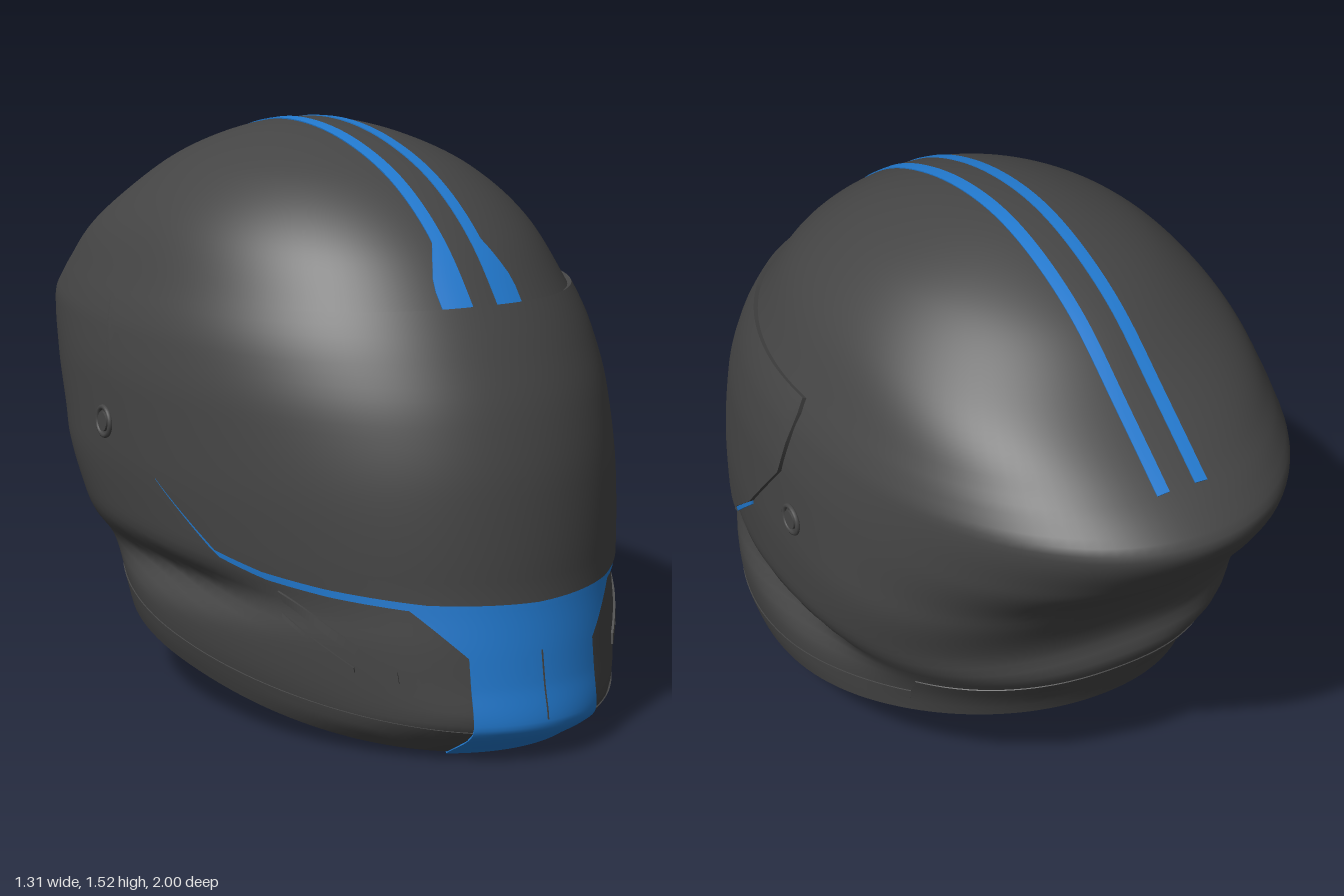
import * as THREE from 'three';
import { toCreasedNormals } from 'three/addons/utils/BufferGeometryUtils.js';

const TOP = 1.518, RAD = Math.PI / 180;
const clamp = THREE.MathUtils.clamp, lerp = THREE.MathUtils.lerp;
const bump = (x, centre, width) => Math.exp(-(((x - centre) / width) ** 2));

// Level sections: height, front z, back z, half width, z of the widest point
const LEVELS = [
  [TOP, -0.03, -0.03, 0, -0.03], [1.48, 0.25, -0.27, 0.21, -0.02], [1.395, 0.465, -0.47, 0.378, -0.01],
  [1.26, 0.64, -0.66, 0.51, 0], [1.12, 0.75, -0.85, 0.58, 0], [1.06, 0.79, -0.935, 0.606, 0],
  [1.0, 0.825, -0.995, 0.624, 0], [0.85, 0.895, -0.9, 0.642, 0], [0.68, 0.938, -0.72, 0.643, 0],
  [0.5, 0.955, -0.64, 0.628, 0.02], [0.44, 0.957, -0.66, 0.615, 0.05], [0.39, 0.962, -0.64, 0.604, 0.08],
  [0.29, 0.975, -0.585, 0.588, 0.12], [0.2, 0.985, -0.56, 0.575, 0.13],
  [0.1, 1.0, -0.55, 0.54, 0.15], [0, 0.87, -0.55, 0.49, 0.15],
];
const toQ = (y) => Math.sqrt(Math.max(0, TOP - y)); // keeps the crown round
const KNOTS = LEVELS.map((l) => toQ(l[0]));
const slope = (i, c) => (LEVELS[i + 1][c] - LEVELS[i][c]) / (KNOTS[i + 1] - KNOTS[i]);
function tangent(i, c) {
  if (i === 0) return slope(0, c);
  if (i === KNOTS.length - 1) return slope(i - 1, c);
  const a = slope(i - 1, c), b = slope(i, c);
  return a * b <= 0 ? 0 : (2 * a * b) / (a + b);
}
const TANGENTS = LEVELS.map((l, i) => l.map((_, c) => (c ? tangent(i, c) : 0)));

// Smooth section values at height y
function section(y) {
  const q = clamp(toQ(y), 0, KNOTS[KNOTS.length - 1]);
  let i = 0;
  while (i < KNOTS.length - 2 && q > KNOTS[i + 1]) i++;
  const h = KNOTS[i + 1] - KNOTS[i], t = (q - KNOTS[i]) / h, t2 = t * t, t3 = t2 * t;
  const at = (c) => (2 * t3 - 3 * t2 + 1) * LEVELS[i][c] + (t3 - 2 * t2 + t) * h * TANGENTS[i][c]
    + (3 * t2 - 2 * t3) * LEVELS[i + 1][c] + (t3 - t2) * h * TANGENTS[i + 1][c];
  return { front: at(1), back: at(2), w: at(3), mid: at(4) };
}

// Superellipse distance: the rear is a little squarer than the front
function reach(s, c, y) {
  const n = c > 0 ? 2 : 2 + 0.6 * bump(y, 0.6, 0.2) + 0.3 * bump(y, 1.2, 0.12);
  return (Math.abs(s) ** n + Math.abs(c) ** n) ** (1 / n);
}

// Shell surface: a = angle from the front, towards +x; the cheeks have a dent
function surface(a, y) {
  const lv = section(y), r = reach(Math.sin(a), Math.cos(a), y);
  const s = Math.sin(a) / r, c = Math.cos(a) / r;
  const deg = Math.acos(clamp(Math.cos(a), -1, 1)) / RAD;
  const w = lv.w - 0.062 * bump(y, 0.37, 0.05) * bump(deg, 88, 28);
  return new THREE.Vector3(w * s, y, lv.mid + (c > 0 ? lv.front - lv.mid : lv.mid - lv.back) * c);
}
function normalAt(a, y) {
  const da = surface(a + 0.002, y).sub(surface(a - 0.002, y));
  const dy = surface(a, y + 0.0005).sub(surface(a, y - 0.0005));
  return da.cross(dy).normalize();
}
const raised = (a, y, off) => surface(a, y).addScaledVector(normalAt(a, y), off);
// The whole form sits very slightly askew
const skew = (p) => p.setX(p.x + 0.03 * p.z - 0.03 * (p.y - 0.6));

// Lower rim lies in a tilted plane
function rimY(a) {
  let y = 0.15;
  for (let k = 0; k < 25; k++) y = 0.157 - 0.18 * surface(a, y).z;
  return Math.max(0, y);
}

// Grid surface from fn(i, j); i runs rightwards and j upwards, seen from outside
function grid(ni, nj, fn, wrap = false) {
  const pos = [], index = [], cols = wrap ? ni : ni + 1;
  for (let j = 0; j <= nj; j++) for (let i = 0; i < cols; i++) pos.push(...skew(fn(i, j)).toArray());
  for (let j = 0; j < nj; j++) for (let i = 0; i < ni; i++) {
    const a = j * cols + i, b = j * cols + ((i + 1) % cols);
    index.push(a, b, b + cols, a, b + cols, a + cols);
  }
  const g = new THREE.BufferGeometry();
  g.setAttribute('position', new THREE.Float32BufferAttribute(pos, 3));
  g.setIndex(index);
  g.computeVertexNormals();
  return g;
}

// Thin plate following the shell, with its border turned down to it
function plate(nu, nv, fn, off) {
  const g = grid(nu + 2, nv + 2, (i, j) => {
    const edge = i === 0 || j === 0 || i === nu + 2 || j === nv + 2;
    const [a, y] = fn(clamp((i - 1) / nu, 0, 1), clamp((j - 1) / nv, 0, 1));
    return raised(a, y, edge ? 0 : off);
  });
  return toCreasedNormals(g, 0.7);
}

// Straight-line lookup through [x, y] pairs
function along(pairs, x) {
  for (let i = 1; i < pairs.length; i++) {
    const [x0, y0] = pairs[i - 1], [x1, y1] = pairs[i];
    if (x <= x1) return lerp(y0, y1, clamp((x - x0) / (x1 - x0), 0, 1));
  }
  return pairs[pairs.length - 1][1];
}

// Angle and height of the crown at plan position x, z
function crownAt(x, z) {
  let lo = 1.0, hi = TOP - 0.0001;
  const local = (y) => {
    const s = section(y), dz = z - s.mid;
    return [x / s.w, dz / (dz > 0 ? s.front - s.mid : s.mid - s.back)];
  };
  for (let k = 0; k < 40; k++) {
    const y = (lo + hi) / 2;
    if (reach(...local(y), y) < 1) lo = y; else hi = y;
  }
  return [Math.atan2(...local(lo)), lo];
}

const VISOR_LOW = [[0, 0.405], [25.5, 0.413], [45, 0.437], [57, 0.458], [66, 0.49], [78, 0.65], [90, 0.865], [93, 1.06]];
const TRIM_DROP = [[0, 0.02], [60, 0.022], [78, 0.012]];
const CHIN_HALF = [[0, 0.183], [0.278, 0.183], [0.29, 0.195], [0.385, 0.285], [0.41, 0.31]];

export function createModel() {
  const grey = new THREE.MeshStandardMaterial({ color: 0x454545, side: THREE.DoubleSide });
  grey.name = 'dark grey';
  const blue = new THREE.MeshStandardMaterial({ color: 0x227ad0, side: THREE.DoubleSide });
  blue.name = 'blue';
  const group = new THREE.Group();
  group.name = 'helmet';
  const add = (name, geometry, material) => {
    const m = new THREE.Mesh(geometry, material);
    m.name = name;
    group.add(m);
  };

  // Outer shell
  const N = 120, ROWS = 90;
  const angle = (i) => (i / N) * 2 * Math.PI;
  const rim = Array.from({ length: N }, (_, i) => rimY(angle(i)));
  add('shell', grid(N, ROWS, (i, j) => {
    const q = toQ(rim[i]) * (1 - j / ROWS);
    return surface(angle(i), TOP - q * q);
  }, true), grey);

  // Rounded lip round the neck opening: [scale, lift]
  const lip = [[0.75, 0.2], [0.68, 0.12], [0.68, 0.07], [0.74, 0.03], [0.85, 0.008], [0.95, 0], [1, 0]];
  add('neckLip', grid(N, lip.length - 1, (i, j) => {
    const p = surface(angle(i), rim[i]), [s, lift] = lip[j];
    const z = 0.15 + (p.z - 0.15) * s;
    return new THREE.Vector3(p.x * s, 0.157 - 0.18 * z + lift, z);
  }, true), grey);

  // Lower edge band, taller round the back
  add('frontEdgeBand', plate(90, 3, (u, v) => {
    const a = lerp(-131, 131, u) * RAD;
    return [a, rimY(a) + 0.003 + v * 0.08];
  }, 0.003), grey);
  add('rearEdgeBand', plate(40, 4, (u, v) => {
    const a = lerp(131, 229, u) * RAD;
    return [a, rimY(a) + 0.003 + v * 0.14];
  }, 0.003), grey);

  // Visor and the blue trim under it, which also shows on the inside
  const low = (deg) => along(VISOR_LOW, Math.abs(deg));
  add('visor', plate(124, 24, (u, v) => {
    const deg = lerp(-93, 93, u);
    return [deg * RAD, lerp(low(deg), 1.112 - 0.014 * Math.abs(deg) / 93, v)];
  }, 0.012), grey);
  const trim = (u, v) => {
    const deg = lerp(-78, 78, u);
    return [deg * RAD, low(deg) + lerp(-along(TRIM_DROP, Math.abs(deg)), 0.008, v)];
  };
  add('visorTrim', plate(104, 2, trim, 0.006), blue);
  add('innerTrim', plate(104, 2, trim, -0.006), blue);

  // Chin panel with a centre seam
  add('chinPanel', plate(24, 40, (u, v) => {
    const y = lerp(0.006, 0.408, v);
    return [Math.asin(lerp(-1, 1, u) * along(CHIN_HALF, y) / section(y).w), y];
  }, 0.006), blue);
  add('chinSeam', plate(1, 8, (u, v) => [lerp(-0.003, 0.003, u), lerp(0.11, 0.285, v)], 0.008), grey);

  for (const side of [-1, 1]) {
    const label = side > 0 ? 'left' : 'right';
    // Crown stripe, wider at the front
    add(label + 'Stripe', plate(4, 80, (u, v) => {
      const z = lerp(0.752, -0.87, v);
      const outer = 0.072 + 0.046 * clamp((z - 0.63) / 0.07, 0, 1);
      const t = side > 0 ? u : 1 - u;
      return crownAt(side * lerp(0.037, outer, t) + 0.005, z);
    }, 0.003), blue);
    // Slanted chin vents
    for (const [a0, a1, y0, y1, h] of [[34, 56, 0.225, 0.395, 0.028], [43, 57, 0.235, 0.345, 0.012]]) {
      add(label + 'Vent', plate(16, 1, (u, v) => {
        const t = side > 0 ? u : 1 - u;
        return [side * lerp(a0, a1, t) * RAD, lerp(y0, y1, t) + (v - 0.5) * h];
      }, 0.006), grey);
    }
    // Visor pivot: ring and button
    const a = side * 94 * RAD, y = 0.745;
    const pivot = new THREE.Group();
    pivot.name = label + 'Pivot';
    pivot.position.copy(skew(raised(a, y, 0.002)));
    pivot.quaternion.setFromUnitVectors(new THREE.Vector3(0, 0, 1), normalAt(a, y));
    const ring = new THREE.Mesh(new THREE.TorusGeometry(0.038, 0.007, 8, 32), grey);
    ring.name = 'pivotRing';
    const button = new THREE.Mesh(new THREE.CylinderGeometry(0.026, 0.026, 0.012, 28).rotateX(Math.PI / 2), grey);
    button.name = 'pivotButton';
    pivot.add(ring, button);
    group.add(pivot);
  }
  return group;
}
